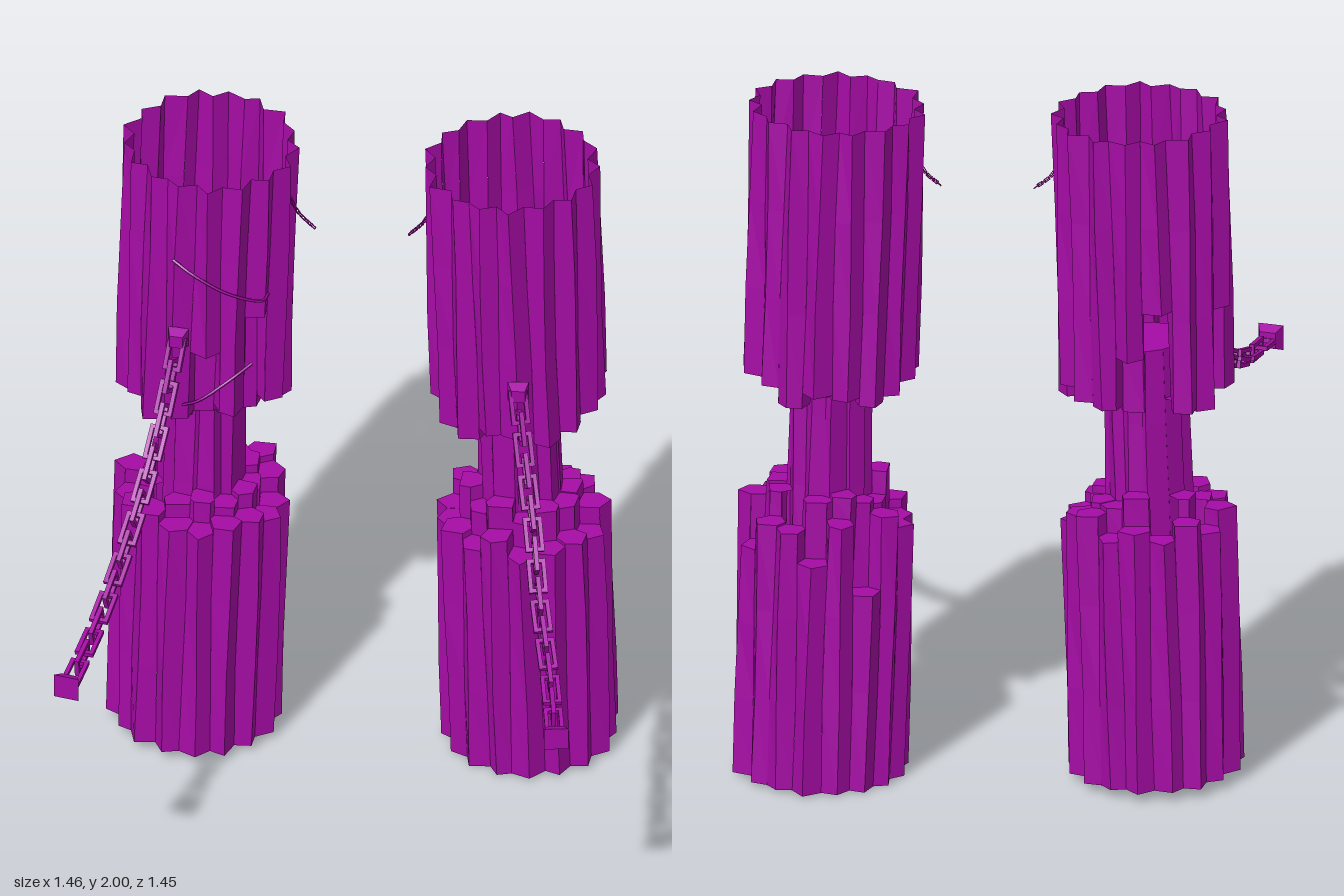
import * as THREE from 'three';

const stone = new THREE.MeshStandardMaterial({ color: 0xa50ca5, flatShading: true, side: THREE.DoubleSide });

// Small seeded generator
function seeded(s) {
  return () => (s = (s * 16807) % 2147483647) / 2147483647;
}

// Convex cell around site i, cut by its bisectors; each corner keeps the neighbour across its next edge
function cellOf(sites, i) {
  const s = sites[i];
  let poly = [[-1, -1], [1, -1], [1, 1], [-1, 1]].map(([x, z]) => ({ x, z, n: -1 }));
  sites.forEach((o, j) => {
    if (j === i) return;
    const nx = o.x - s.x, nz = o.z - s.z;
    const d = p => (p.x - (o.x + s.x) / 2) * nx + (p.z - (o.z + s.z) / 2) * nz;
    const out = [];
    poly.forEach((a, k) => {
      const b = poly[(k + 1) % poly.length], da = d(a), db = d(b);
      if (da <= 0) out.push(a);
      if (da * db < 0) {
        const t = da / (da - db);
        out.push({ x: a.x + (b.x - a.x) * t, z: a.z + (b.z - a.z) * t, n: da < 0 ? j : a.n });
      }
    });
    poly = out;
  });
  return poly;
}

// Rings of sites: fine core, inner ring, outer ring and a border ring that shapes the bumpy outline
function makeSites(rand) {
  const sites = [];
  const ring = (n, r, kind, jit, shift = 0) => {
    for (let i = 0; i < n; i++) {
      const a = ((i + shift) / n) * Math.PI * 2 + (rand() - 0.5) * jit / r;
      const q = r + (rand() - 0.5) * jit;
      sites.push({ x: Math.cos(a) * q, z: Math.sin(a) * q, kind });
    }
  };
  ring(4, 0.035, 'core', 0.02);
  ring(10, 0.086, 'core', 0.012);
  ring(13, 0.143, 'inner', 0.016);
  ring(17, 0.199, 'outer', 0.014);
  ring(17, 0.265, 'border', 0.006, 0.5);
  return sites;
}

// One broken pillar: upper and lower bundles of ragged prisms joined by a thin core
function pillar(name, { top, bottom, yTop, yBottom, seed, holes }) {
  const rand = seeded(seed), sites = makeSites(rand);
  const group = new THREE.Group();
  group.name = name;
  const lean = (top[0] - bottom[0]) / 2;
  const place = (p, y) => {
    const t = y / 2, w = 0.004 * Math.sin(5 * y + p.x * 40 + p.z * 25);
    return [
      bottom[0] + (top[0] - bottom[0]) * t + p.x + w,
      y - lean * p.x,
      bottom[1] + (top[1] - bottom[1]) * t + p.z - w
    ];
  };
  const missing = new Set(holes.map(([x, z]) => {
    let best = -1, dist = 9;
    sites.forEach((s, i) => {
      const d = Math.hypot(s.x - x, s.z - z);
      if (s.kind === 'inner' && d < dist) { dist = d; best = i; }
    });
    return best;
  }));
  const cells = sites.map((s, i) => (s.kind === 'border' ? [] : cellOf(sites, i)));

  const builder = () => {
    const pos = [];
    return {
      cap(poly, y, up) {
        for (let k = 1; k < poly.length - 1; k++) {
          const tri = up ? [0, k + 1, k] : [0, k, k + 1];
          tri.forEach(m => pos.push(...place(poly[m], y)));
        }
      },
      wall(a, b, y0, y1) {
        const rows = Math.max(1, Math.ceil((y1 - y0) / 0.3));
        for (let r = 0; r < rows; r++) {
          const lo = y0 + (y1 - y0) * r / rows, hi = y0 + (y1 - y0) * (r + 1) / rows;
          pos.push(...place(a, lo), ...place(a, hi), ...place(b, hi));
          pos.push(...place(a, lo), ...place(b, hi), ...place(b, lo));
        }
      },
      finish(label) {
        const g = new THREE.BufferGeometry();
        g.setAttribute('position', new THREE.Float32BufferAttribute(pos, 3));
        g.computeVertexNormals();
        const m = new THREE.Mesh(g, stone);
        m.name = label;
        group.add(m);
      }
    };
  };

  // Hollow bundle: outer walls run to the open end, ragged caps face the gap
  const bundle = (label, heights, end, up) => {
    const b = builder();
    cells.forEach((poly, i) => {
      const kind = sites[i].kind;
      if (kind === 'core' || kind === 'border' || missing.has(i)) return;
      b.cap(poly, heights[i], up);
      poly.forEach((p, k) => {
        const q = poly[(k + 1) % poly.length], j = p.n;
        if (j < 0 || sites[j].kind === 'core' || missing.has(j)) return;
        const other = sites[j].kind === 'border' ? end : heights[j];
        if (up && other < heights[i]) b.wall(p, q, other, heights[i]);
        if (!up && other > heights[i]) b.wall(p, q, heights[i], other);
      });
    });
    b.finish(label);
  };
  const upper = sites.map(s => {
    const odd = s.kind === 'outer' && rand() < 0.14;
    return odd ? 1.3 + rand() * 0.22 : 1.15 + rand() * 0.06;
  });
  const lower = sites.map(s => {
    const odd = s.kind === 'outer' && rand() < 0.12;
    return odd ? 0.52 + rand() * 0.2 : (s.kind === 'inner' ? 0.82 : 0.76) + rand() * 0.08;
  });
  bundle('upperColumns', upper, yTop, false);
  bundle('lowerColumns', lower, yBottom, true);

  // Core cells share one outer wall and flat ends
  const core = builder();
  cells.forEach((poly, i) => {
    if (sites[i].kind !== 'core') return;
    core.cap(poly, 1.32, true);
    core.cap(poly, 0.65, false);
    poly.forEach((p, k) => {
      if (sites[p.n].kind !== 'core') core.wall(p, poly[(k + 1) % poly.length], 0.65, 1.32);
    });
  });
  core.finish('core');
  return group;
}

// Rectangular chain link, long along z
function linkGeometry() {
  const rect = (T, w, l) => new T([[-w, -l], [w, -l], [w, l], [-w, l]].map(p => new THREE.Vector2(...p)));
  const s = rect(THREE.Shape, 0.027, 0.05);
  s.holes.push(rect(THREE.Path, 0.015, 0.038));
  const g = new THREE.ExtrudeGeometry(s, { depth: 0.013, bevelEnabled: false });
  return g.translate(0, 0, -0.0065).rotateX(Math.PI / 2);
}
const link = linkGeometry();
const curveOf = pts => new THREE.CatmullRomCurve3(pts.map(p => new THREE.Vector3(...p)));

// Links along a curve, every second one turned by a quarter
function chain(name, pts, count, scale = 1) {
  const group = new THREE.Group(), curve = curveOf(pts);
  group.name = name;
  for (let k = 0; k < count; k++) {
    const u = (k + 0.5) / count, m = new THREE.Mesh(link, stone);
    m.name = 'link';
    m.position.copy(curve.getPointAt(u));
    m.lookAt(m.position.clone().add(curve.getTangentAt(u)));
    m.rotateZ((k % 2) * Math.PI / 2);
    m.scale.setScalar(scale);
    group.add(m);
  }
  return group;
}

// Tapered square plate whose wide face looks along dir
function plate(name, at, dir, half) {
  const g = new THREE.CylinderGeometry(half * 1.414, half * 0.9, 0.032, 4).rotateY(Math.PI / 4).rotateX(Math.PI / 2);
  const m = new THREE.Mesh(g, stone);
  m.name = name;
  m.position.set(...at);
  m.lookAt(at[0] + dir[0], at[1], at[2] + dir[1]);
  return m;
}

function cord(name, pts) {
  const m = new THREE.Mesh(new THREE.TubeGeometry(curveOf(pts), 20, 0.005, 5), stone);
  m.name = name;
  return m;
}

export function createModel() {
  const model = new THREE.Group();
  model.name = 'brokenPillars';
  model.add(
    pillar('rightPillar', {
      top: [-0.418, -0.435], bottom: [-0.463, -0.435], yTop: 1.993, yBottom: 0.03, seed: 4711,
      holes: [[-0.07, -0.14], [-0.15, -0.03], [-0.14, 0.08]]
    }),
    pillar('leftPillar', {
      top: [0.437, -0.43], bottom: [0.485, -0.47], yTop: 1.993, yBottom: 0.008, seed: 9029,
      holes: [[0.11, -0.11]]
    }),
    // Hanging chains with their plates
    chain('rightChain', [[-0.485, 1.47, -0.18], [-0.51, 1.31, -0.1], [-0.54, 1.17, 0.02], [-0.585, 1.03, 0.21],
      [-0.64, 0.92, 0.45], [-0.685, 0.885, 0.67]], 17),
    plate('rightChainEnd', [-0.692, 0.885, 0.695], [-0.2, 0.9], 0.037),
    plate('rightChainMount', [-0.485, 1.48, -0.18], [0.1, -0.9], 0.03),
    chain('leftChain', [[0.485, 1.37, -0.17], [0.51, 1.23, -0.1], [0.55, 1.07, 0.03], [0.59, 0.93, 0.2],
      [0.645, 0.82, 0.42], [0.68, 0.775, 0.6]], 17),
    plate('leftChainEnd', [0.686, 0.77, 0.62], [0.15, 0.9], 0.035),
    plate('leftChainMount', [0.485, 1.375, -0.175], [-0.1, -0.9], 0.03),
    // Loose cords on the right pillar
    cord('upperCord', [[-0.5, 1.74, -0.2], [-0.44, 1.71, -0.175], [-0.34, 1.645, -0.185], [-0.25, 1.59, -0.24], [-0.24, 1.58, -0.29]]),
    cord('lowerCord', [[-0.47, 1.24, -0.2], [-0.42, 1.28, -0.172], [-0.34, 1.34, -0.19], [-0.28, 1.37, -0.24]]),
    // Tiny broken chains on the facing sides
    chain('rightSmallChain', [[-0.19, 1.83, -0.41], [-0.165, 1.785, -0.405], [-0.12, 1.745, -0.395]], 9, 0.2),
    chain('leftSmallChain', [[0.21, 1.83, -0.41], [0.19, 1.785, -0.405], [0.15, 1.745, -0.395]], 9, 0.2)
  );
  return model;
}
